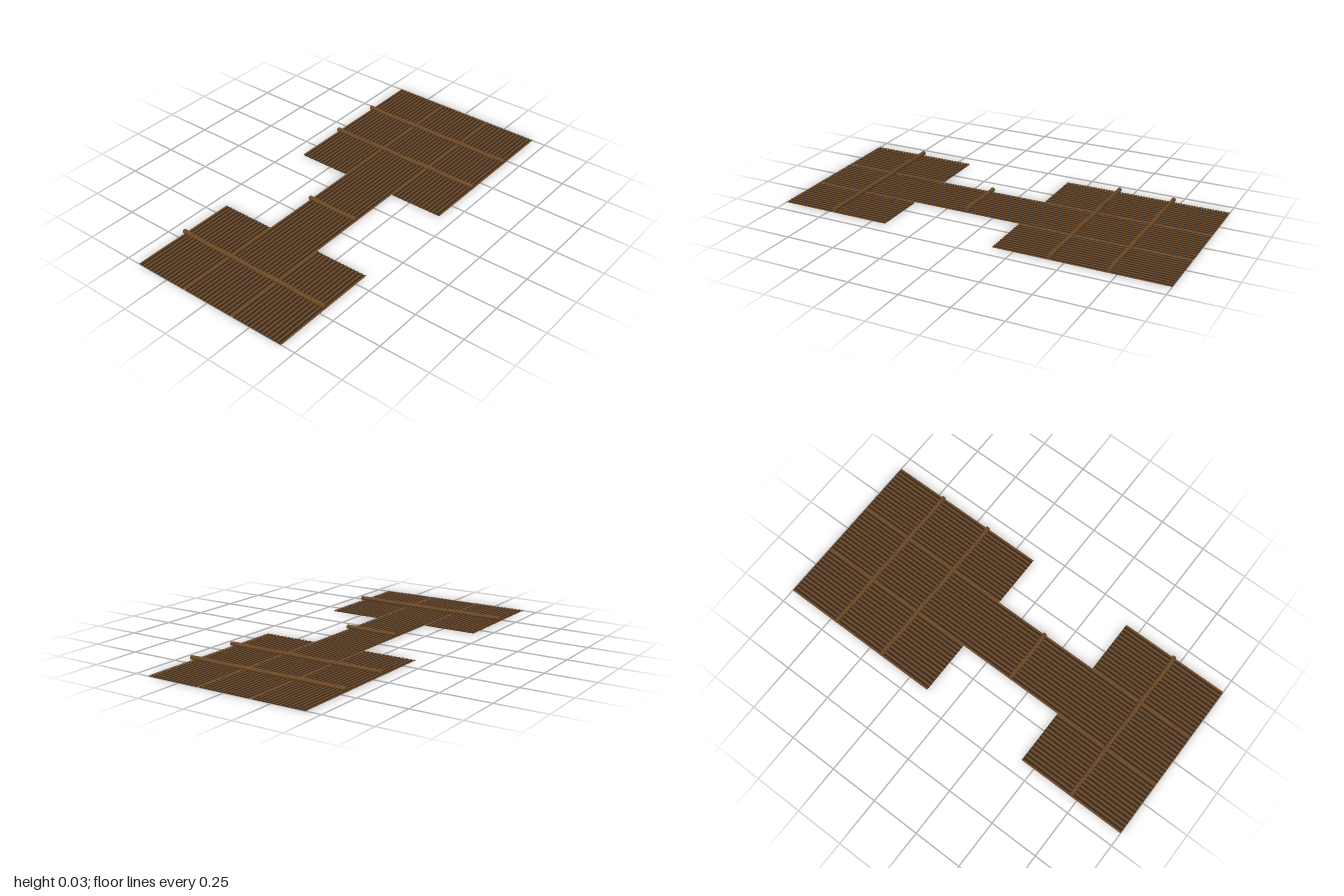
import * as THREE from 'three';
import { mergeGeometries } from 'three/addons/utils/BufferGeometryUtils.js';

const T = 2 / 7; // floor tile size
const SLATS = 14, SLAT_W = 0.01;

const slatMat = new THREE.MeshStandardMaterial({ color: 0x6b4825, side: THREE.DoubleSide });
const baseMat = new THREE.MeshStandardMaterial({ color: 0x38271a, side: THREE.DoubleSide });
const logMat = new THREE.MeshStandardMaterial({ color: 0x6b4825, flatShading: true });

// Flat horizontal sheet
function sheet(w, d, x, y, z) {
  return new THREE.PlaneGeometry(w, d).rotateX(-Math.PI / 2).translate(x, y, z);
}

// One column of floor: dark backing with lighter slats running along z
function floorPanel(name, col, z0, z1) {
  const panel = new THREE.Group();
  panel.name = name;
  const d = z1 - z0, z = (z0 + z1) / 2, x = col * T;
  const backing = new THREE.Mesh(sheet(T - 0.01, d, x, 0, z), baseMat);
  backing.name = 'backing';
  const strips = [];
  for (let i = 0; i < SLATS; i++) {
    const sx = x - T / 2 + SLAT_W / 2 + (i * (T - SLAT_W)) / (SLATS - 1);
    strips.push(sheet(SLAT_W, d, sx, 0.003, z));
  }
  const slats = new THREE.Mesh(mergeGeometries(strips), slatMat);
  slats.name = 'slats';
  panel.add(backing, slats);
  return panel;
}

// Slightly crooked log lying along x, its waviness repeating every tile
function crossLog(tiles, z) {
  const geo = new THREE.CylinderGeometry(0.0105, 0.0105, tiles * T, 8, tiles * 8);
  geo.rotateZ(Math.PI / 2);
  const p = geo.attributes.position;
  for (let i = 0; i < p.count; i++) {
    const a = ((p.getX(i) + 0.03) / T) * Math.PI * 2;
    const s = 1 - 0.06 * Math.cos(a);
    p.setY(i, p.getY(i) * s - 0.0005 * Math.cos(a));
    p.setZ(i, p.getZ(i) * s + 0.0015 * Math.sin(a));
  }
  geo.computeVertexNormals();
  const log = new THREE.Mesh(geo, logMat);
  log.name = 'crossLog';
  log.position.set(0, 0.0168, z);
  return log;
}

export function createModel() {
  const model = new THREE.Group();
  model.name = 'walkway';

  // Long middle strip, with wider platforms at both ends
  model.add(floorPanel('middleFloor', 0, -1, 1));
  for (const side of [-1, 1]) {
    const label = side > 0 ? 'left' : 'right';
    model.add(floorPanel(label + 'BackFloor', side, -1, -T / 2));
    model.add(floorPanel(label + 'FrontFloor', side, 1.5 * T, 1));
  }

  // Logs over the tile seams
  model.add(crossLog(3, -2.5 * T), crossLog(3, -1.5 * T), crossLog(1, 0.5 * T), crossLog(3, 2.5 * T));
  return model;
}
